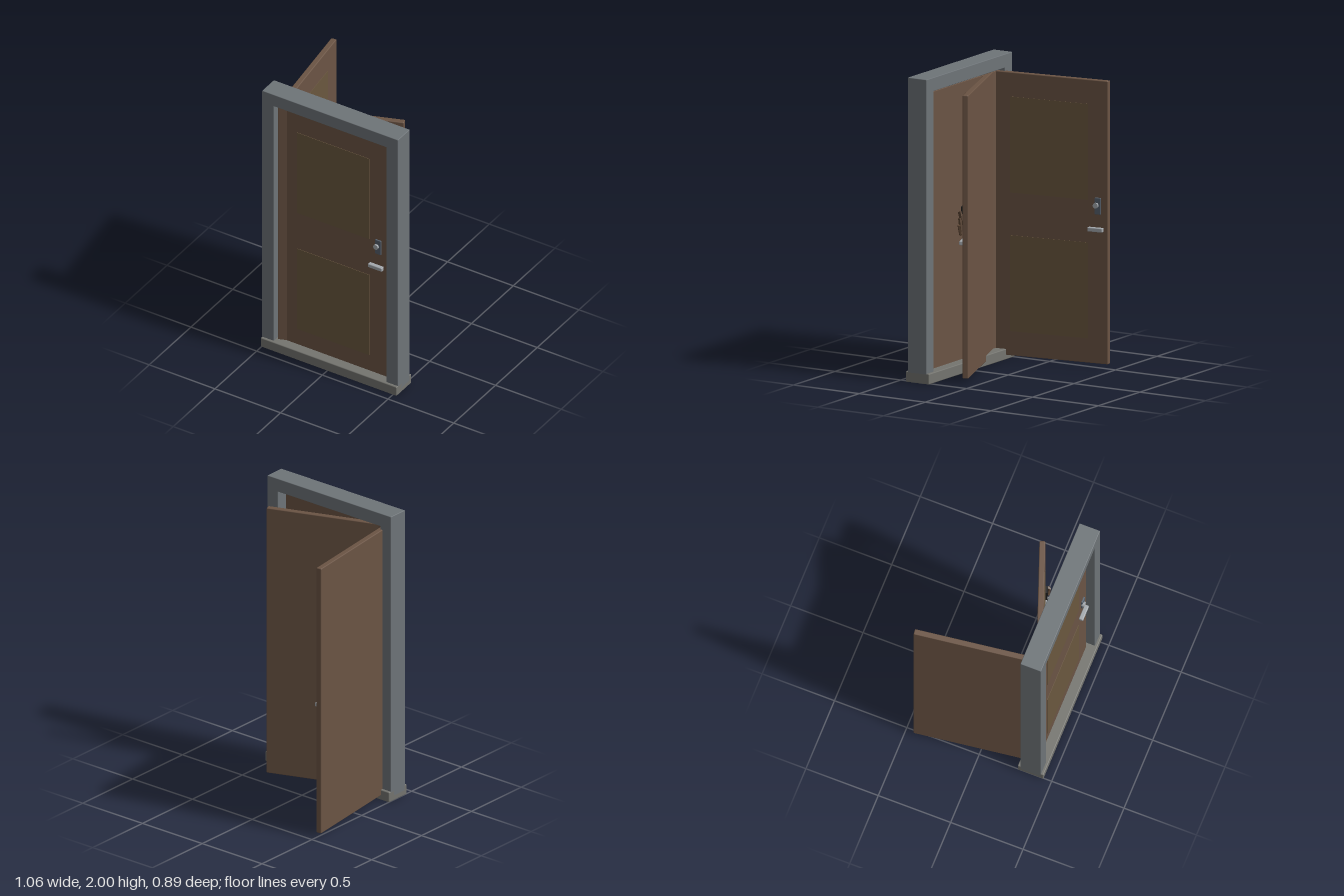
import * as THREE from 'three';
import { RoundedBoxGeometry } from 'three/addons/geometries/RoundedBoxGeometry.js';

const mat = (color) => new THREE.MeshStandardMaterial({ color });
const frameMat = mat(0x6e7478);
const sillMat = mat(0x74746f);
const woodMat = mat(0x6b5444);
const panelMat = mat(0x6a573f);
const plateMat = mat(0x56606c);
const steelMat = mat(0xa4a9ae);
const blackMat = mat(0x1c1c1c);
const splinterMat = mat(0x5a4433);

const LENGTH = 0.83, THICK = 0.038, FACE = THICK / 2;

function add(parent, name, geometry, material, x, y, z) {
  const mesh = new THREE.Mesh(geometry, material);
  mesh.name = name;
  mesh.position.set(x, y, z);
  parent.add(mesh);
  return mesh;
}

// Box given by its lower and upper limits on each axis
function block(parent, name, material, [x0, x1], [y0, y1], [z0, z1], radius = 0) {
  const w = x1 - x0, h = y1 - y0, d = z1 - z0;
  const geometry = radius
    ? new RoundedBoxGeometry(w, h, d, 2, radius)
    : new THREE.BoxGeometry(w, h, d);
  return add(parent, name, geometry, material, (x0 + x1) / 2, (y0 + y1) / 2, (z0 + z1) / 2);
}

// Intact lock: plate with a round cylinder
function addLock(leaf) {
  block(leaf, 'lockPlate', plateMat, [0.738, 0.782], [1.01, 1.12], [FACE - 0.004, FACE + 0.009], 0.004);
  const knob = add(leaf, 'lockCylinder', new THREE.CylinderGeometry(0.018, 0.018, 0.02, 20),
    steelMat, 0.75, 1.07, FACE + 0.012);
  knob.rotation.x = Math.PI / 2;
}

// Forced lock: dark cavity with torn slats of wood beside it
function addBrokenLock(leaf) {
  block(leaf, 'brokenLock', blackMat, [0.745, 0.792], [1.01, 1.15], [FACE - 0.01, FACE + 0.017]);
  for (let i = 0; i < 3; i++) {
    const slat = add(leaf, 'splinter', new THREE.BoxGeometry(0.022, 0.1 - i * 0.015, 0.013),
      splinterMat, 0.797 + i * 0.008, 1.07 - i * 0.035, FACE + 0.014 + i * 0.004);
    slat.rotation.set(0.12 * i, 1.05 - i * 0.3, 0.3 - i * 0.3);
  }
}

// One door leaf, hinged on its left edge, turned by an angle in degrees
function makeLeaf(name, x, z, degrees, broken) {
  const leaf = new THREE.Group();
  leaf.name = name;
  leaf.position.set(x, 0, z);
  leaf.rotation.y = THREE.MathUtils.degToRad(degrees);
  block(leaf, 'slab', woodMat, [0, LENGTH], [0.03, 1.89], [-FACE, FACE], 0.006);
  // Slightly raised panels
  for (const y of [0.19, 1.10]) {
    block(leaf, 'panel', panelMat, [0.14, 0.69], [y, y + 0.63], [FACE - 0.004, FACE + 0.003]);
  }
  if (broken) addBrokenLock(leaf);
  else addLock(leaf);
  block(leaf, 'handle', steelMat, [0.695, 0.802], [0.898, 0.926], [FACE, FACE + 0.029], 0.006);
  return leaf;
}

export function createModel() {
  const model = new THREE.Group();
  model.name = 'doorSet';

  // Fixed surround
  const frame = new THREE.Group();
  frame.name = 'frame';
  const depth = [0.286, 0.428];
  block(frame, 'rightJamb', frameMat, [-0.505, -0.415], [0.03, 1.96], depth, 0.004);
  block(frame, 'leftJamb', frameMat, [0.44, 0.53], [0.03, 1.96], depth, 0.004);
  block(frame, 'header', frameMat, [-0.505, 0.53], [1.91, 2], depth, 0.004);
  block(frame, 'sill', sillMat, [-0.505, 0.53], [0, 0.07], [0.267, 0.445], 0.006);
  model.add(frame);

  // Closed, ajar and wide-open leaves
  model.add(
    makeLeaf('closedLeaf', -0.41, 0.358, 0, false),
    makeLeaf('ajarLeaf', -0.412, 0.38, 20.2, true),
    makeLeaf('openLeaf', -0.403, 0.378, 97.5, false),
  );
  return model;
}
